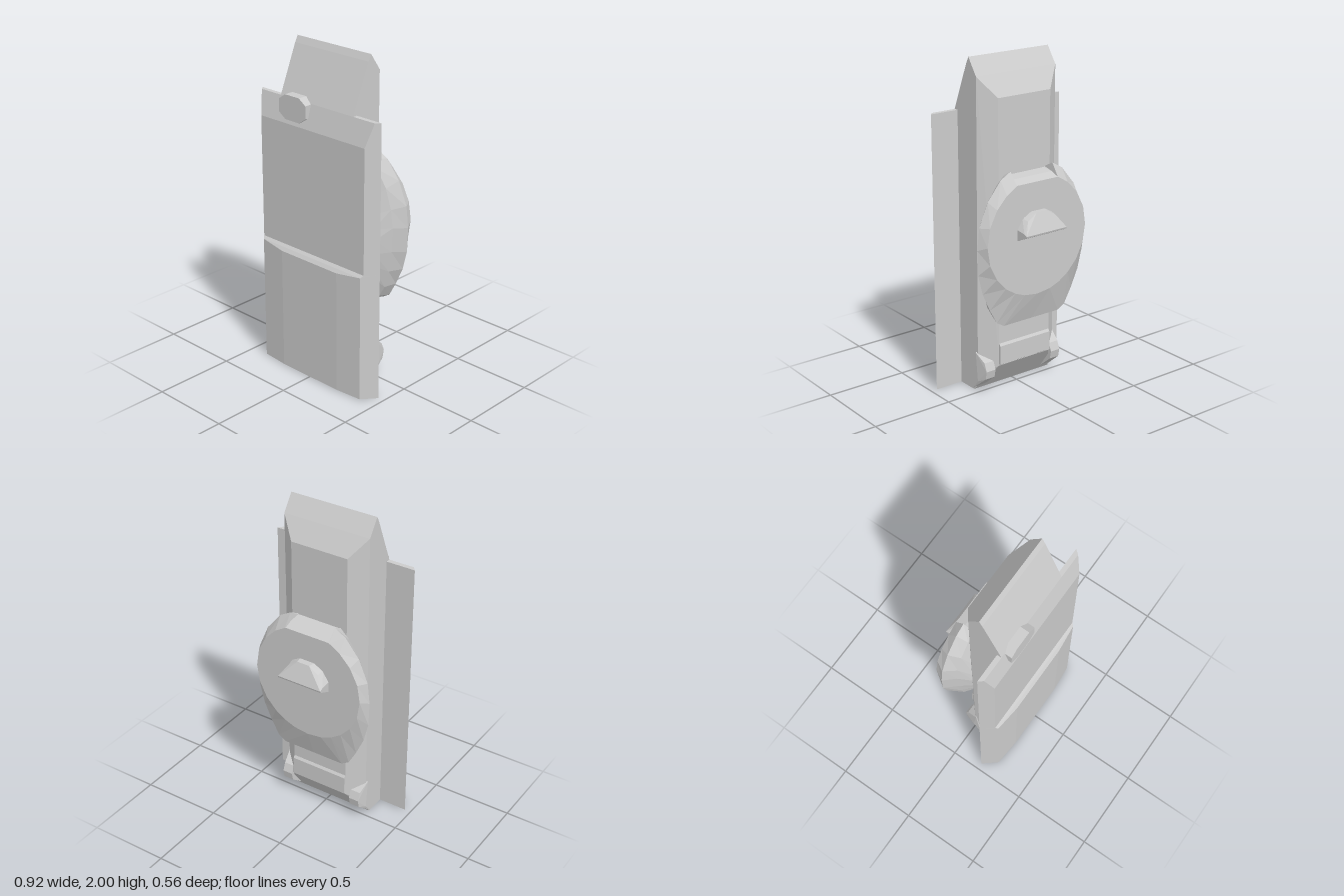
import * as THREE from 'three';
import { ConvexGeometry } from 'three/addons/geometries/ConvexGeometry.js';

const material = new THREE.MeshStandardMaterial({ color: 0xcccccc, flatShading: true });

function part(name, geometry) {
  const mesh = new THREE.Mesh(geometry, material);
  mesh.name = name;
  return mesh;
}

// Convex block from corners on the +x side, mirrored to -x
function mirroredHull(points) {
  const all = [];
  for (const [x, y, z] of points) {
    all.push(new THREE.Vector3(x, y, z), new THREE.Vector3(-x, y, z));
  }
  return new ConvexGeometry(all);
}

// Mirrors a half outline [x, y] (top centre, down the +x side, bottom centre)
function fullRing(half, z) {
  const ring = half.map(([x, y]) => [x, y, z]);
  for (let i = half.length - 2; i > 0; i--) ring.push([-half[i][0], half[i][1], z]);
  return ring;
}

// Skins rings ordered from front (+z) to back (-z) and caps the back
function loft(rings) {
  const pos = [];
  const n = rings[0].length;
  const tri = (a, b, c) => pos.push(...a, ...b, ...c);
  for (let r = 0; r < rings.length - 1; r++) {
    for (let i = 0; i < n; i++) {
      const j = (i + 1) % n;
      const a = rings[r][i], b = rings[r][j], c = rings[r + 1][j], d = rings[r + 1][i];
      tri(a, c, d);
      tri(a, b, c);
    }
  }
  const last = rings[rings.length - 1];
  const centre = [0, 1, 2].map(k => last.reduce((s, p) => s + p[k], 0) / n);
  for (let i = 0; i < n; i++) tri(centre, last[i], last[(i + 1) % n]);
  const g = new THREE.BufferGeometry();
  g.setAttribute('position', new THREE.Float32BufferAttribute(pos, 3));
  g.computeVertexNormals();
  return g;
}

export function createModel() {
  const group = new THREE.Group();

  // Central body with wedge top and chamfered back corners
  group.add(part('body', mirroredHull([
    [0.28, 2, 0.07], [0.28, 1.962, 0.09], [0.28, 1.9, 0], [0.185, 1.78, -0.073], [0.185, 0.17, -0.073],
    [0.28, 0.1, 0.01], [0.28, 0, 0.05], [0.28, 0, 0.208], [0.28, 1.68, 0.208],
  ])));

  // Wide front plates
  group.add(part('upperFrontPlate', mirroredHull([
    [0.46, 0.79, 0.18], [0.46, 1.68, 0.18], [0.402, 0.79, 0.25],
    [0.402, 1.54, 0.25], [0.437, 1.68, 0.208],
  ])));
  group.add(part('lowerFrontPlate', mirroredHull([
    [0.46, 0, 0.18], [0.46, 0.79, 0.18], [0.402, 0.79, 0.25], [0.39, 0, 0.265],
    [0.39, 0.775, 0.265], [0.22, 0, 0.28], [0.22, 0.755, 0.28],
  ])));

  // Octagonal hatch on the sloped front
  const w = 0.105, h = 0.073, cx = 0.05, cy = 0.035;
  const octagon = new THREE.Shape([
    [w, h - cy], [w - cx, h], [cx - w, h], [-w, h - cy],
    [-w, cy - h], [cx - w, -h], [w - cx, -h], [w, cy - h],
  ].map(p => new THREE.Vector2(...p)));
  const hatch = part('frontHatch', new THREE.ExtrudeGeometry(octagon, { depth: 0.1, bevelEnabled: false }));
  hatch.position.set(-0.145, 1.638, 0.153);
  group.add(hatch);

  // Turret on the back: bowl-shaped sides, notched top, round flat face
  const rim = [
    [0, 1.32], [0.145, 1.32], [0.15, 1.37], [0.22, 1.33], [0.31, 1.22], [0.37, 1.08], [0.385, 0.95],
    [0.38, 0.8], [0.35, 0.68], [0.3, 0.57], [0.25, 0.48], [0.2, 0.45], [0, 0.45],
  ];
  const middle = [
    [0, 1.33], [0.14, 1.33], [0.145, 1.335], [0.2, 1.28], [0.27, 1.18], [0.31, 1.06], [0.325, 0.95],
    [0.32, 0.8], [0.3, 0.67], [0.27, 0.56], [0.23, 0.49], [0.19, 0.465], [0, 0.465],
  ];
  const base = middle.map(([x, y]) => [x * 0.8, 0.85 + (y - 0.9) * 0.6]);
  const face = [90, 66, 65, 52, 36, 18, 0, -18, -35, -50, -63, -75, -90].map(deg => {
    const a = THREE.MathUtils.degToRad(deg);
    return [0.355 * Math.cos(a), 0.975 + 0.355 * Math.sin(a)];
  });
  // Straight edge across the notch
  face[0][1] = face[1][1];
  group.add(part('turret', loft([
    fullRing(base, 0), fullRing(middle, -0.075), fullRing(rim, -0.14), fullRing(face, -0.197),
  ])));

  // Domed mantlet on the turret face
  group.add(part('mantlet', mirroredHull([
    [0.145, 0.97, -0.19], [0.145, 1.04, -0.19], [0.105, 1.1, -0.19], [0.05, 1.13, -0.19],
    [0.04, 1.13, -0.235], [0.06, 1.1, -0.247], [0.1, 1.09, -0.235], [0.145, 1.03, -0.26],
    [0.145, 1.02, -0.28], [0.145, 1.01, -0.277],
  ])));

  // Rounded lugs at the lower back corners
  const lug = [[0.02, 0.25], [-0.05, 0.2], [-0.07, 0.15], [-0.06, 0.1], [0, 0.07], [0.05, 0.01]];
  for (const side of [-1, 1]) {
    const corners = [];
    for (const [z, y] of lug) {
      corners.push(new THREE.Vector3(side * 0.21, y, z), new THREE.Vector3(side * (z < -0.04 ? 0.275 : 0.288), y, z));
    }
    group.add(part(side > 0 ? 'leftLug' : 'rightLug', new ConvexGeometry(corners)));
  }

  // Low ledge between the lugs
  group.add(part('backLedge', mirroredHull([
    [0.185, 0.31, -0.06], [0.185, 0.31, -0.074], [0.185, 0.295, -0.084],
    [0.185, 0.18, -0.084], [0.185, 0.165, -0.06],
  ])));

  return group;
}
